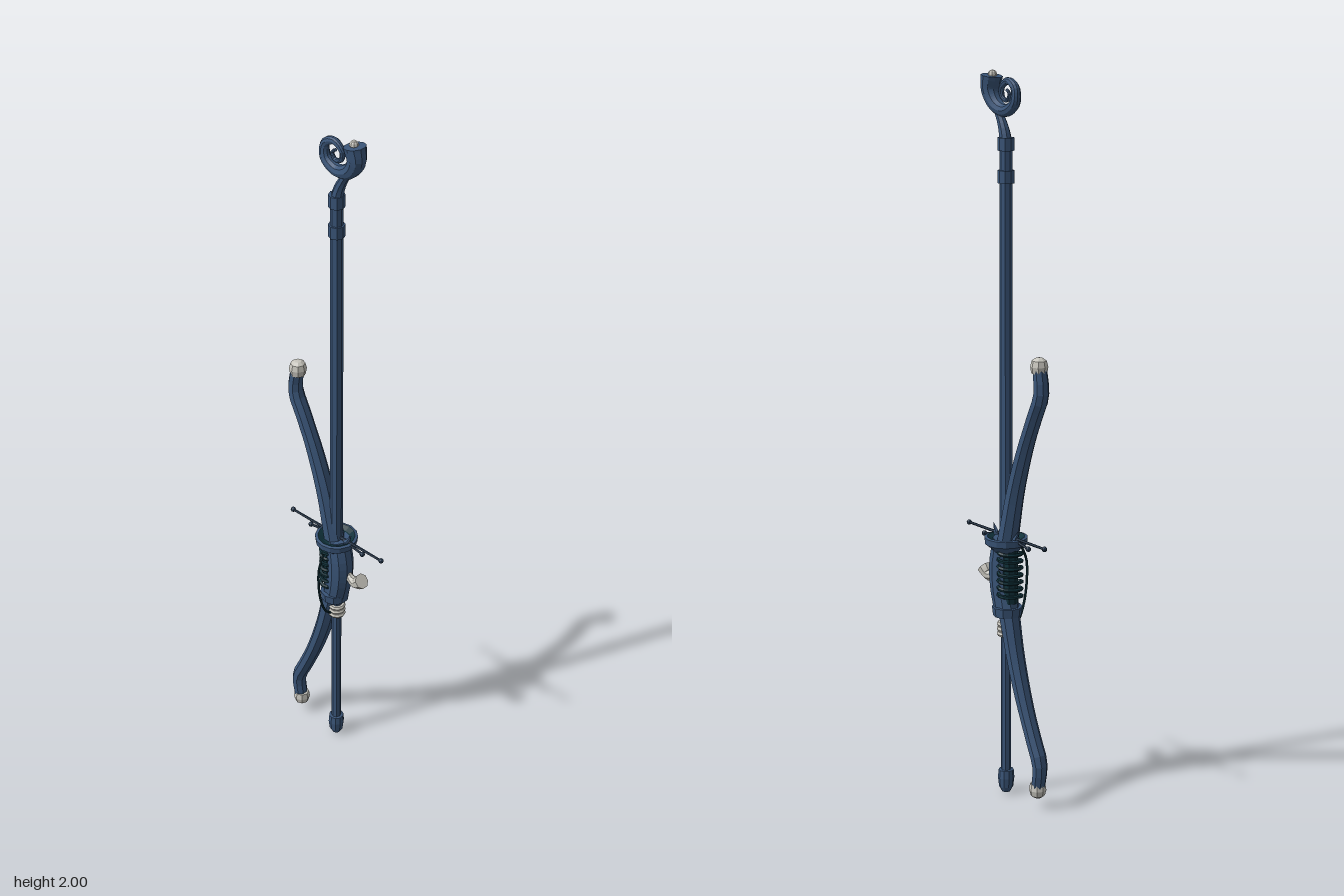
import * as THREE from 'three';

const mat = (name, color, side = THREE.FrontSide) => {
  const m = new THREE.MeshStandardMaterial({ color, flatShading: true, side });
  m.name = name;
  return m;
};

// Sweep a round section along a curve in the xy plane; radii are spread evenly along it.
function sweep(points, radii, rings, sides = 8, depth = 1) {
  const curve = new THREE.CatmullRomCurve3(points.map(([x, y]) => new THREE.Vector3(x, y, 0)));
  const pos = [], index = [];
  for (let i = 0; i <= rings; i++) {
    const t = i / rings, p = curve.getPointAt(t), d = curve.getTangentAt(t);
    const f = t * (radii.length - 1), k = Math.min(Math.floor(f), radii.length - 2);
    const r = THREE.MathUtils.lerp(radii[k], radii[k + 1], f - k);
    for (let j = 0; j < sides; j++) {
      const a = (j + 0.5) / sides * Math.PI * 2, c = Math.cos(a) * r;
      pos.push(p.x - d.y * c, p.y + d.x * c, Math.sin(a) * r * depth);
    }
  }
  for (let i = 0; i < rings; i++) for (let j = 0; j < sides; j++) {
    const n = (j + 1) % sides, a = i * sides + j, b = i * sides + n;
    index.push(a, b, a + sides, b, b + sides, a + sides);
  }
  const last = rings * sides;
  for (let j = 1; j < sides - 1; j++) index.push(0, j + 1, j, last, last + j, last + j + 1);
  const g = new THREE.BufferGeometry();
  g.setAttribute('position', new THREE.Float32BufferAttribute(pos, 3));
  g.setIndex(index);
  g.computeVertexNormals();
  return g;
}

export function createModel() {
  const group = new THREE.Group();
  const blue = mat('blue wood', 0x3a5578);
  const darkBlue = mat('dark blue metal', 0x26394f);
  const teal = mat('dark teal', 0x10313a, THREE.DoubleSide);
  const ivory = mat('ivory', 0xc6c4bc);

  const add = (name, geometry, material, x = 0, y = 0, z = 0) => {
    const mesh = new THREE.Mesh(geometry, material);
    mesh.name = name;
    mesh.position.set(x, y, z);
    group.add(mesh);
    return mesh;
  };
  const lathe = (pts, n = 10) => new THREE.LatheGeometry(pts.map(p => new THREE.Vector2(...p)), n);

  // Staff with collars and a rounded foot
  add('upperShaft', new THREE.CylinderGeometry(0.017, 0.018, 1.1, 8), blue, 0, 1.27);
  add('lowerShaft', new THREE.CylinderGeometry(0.014, 0.014, 0.7, 8), blue, 0, 0.4);
  add('foot', lathe([[0, 0], [0.012, 0.003], [0.02, 0.018], [0.023, 0.045], [0.021, 0.068], [0, 0.07]]), blue);
  for (const y of [1.725, 1.81])
    add('collar', new THREE.CylinderGeometry(0.022, 0.022, 0.034, 8), blue, 0, y);

  // Curled head: neck, tapering spiral and a pearl in the open end
  add('headNeck', sweep([[0, 1.81], [0.008, 1.845], [0.022, 1.875], [0.04, 1.905]],
    [0.018, 0.015, 0.012, 0.012], 8), blue);
  add('headSpiral', sweep([[-0.003, 1.95], [-0.015, 1.94], [-0.006, 1.923], [0.014, 1.928], [0.019, 1.953],
    [-0.008, 1.973], [-0.038, 1.957], [-0.037, 1.918], [0, 1.896], [0.042, 1.908], [0.066, 1.945], [0.06, 1.983]],
  [0.004, 0.007, 0.01, 0.014, 0.017, 0.022, 0.029], 44, 10), blue);
  add('headPearl', new THREE.SphereGeometry(0.012, 8, 6), ivory, 0.057, 1.986);

  // Two mirrored bow limbs with ivory tips
  const mid = 0.648;
  const limb = [[-0.141, 0.6], [-0.15, 0.52], [-0.123, 0.455], [-0.085, 0.365],
    [-0.045, 0.245], [-0.015, 0.12], [0.012, 0]];
  for (const s of [1, -1]) {
    const pts = limb.map(([x, y]) => [x, mid + s * y]);
    add(s > 0 ? 'upperLimb' : 'lowerLimb',
      sweep(pts, [0.018, 0.021, 0.021, 0.023, 0.025, 0.028, 0.03], 24, 8, 1.1), blue);
    const tip = add('limbTip', lathe([[0, -0.02], [0.021, -0.018], [0.024, 0], [0.02, 0.016], [0.01, 0.023], [0, 0.024]], 8),
      ivory, -0.141, mid + s * 0.594);
    if (s < 0) tip.rotation.x = Math.PI;
  }

  // Grip body, bottom band and dark wrapped cord
  add('grip', sweep([[0, 0.53], [0.013, 0.6], [0.016, 0.66], [0.004, 0.74]],
    [0.032, 0.036, 0.037, 0.034], 10, 10), blue);
  add('gripBand', new THREE.CylinderGeometry(0.042, 0.039, 0.026, 10), blue, -0.005, 0.536);
  const coil = [];
  for (let i = 0; i <= 84; i++) {
    const a = i / 12 * Math.PI * 2;
    coil.push(new THREE.Vector3(-0.018 + Math.cos(a) * 0.024, 0.572 + i / 84 * 0.14, Math.sin(a) * 0.036));
  }
  add('gripCoil', new THREE.TubeGeometry(new THREE.CatmullRomCurve3(coil), 112, 0.0055, 5), teal);
  add('coilCore', new THREE.CylinderGeometry(0.022, 0.022, 0.16, 8), teal, -0.018, 0.642);

  // Cup guard with dark inside and small spikes
  add('guardCup', lathe([[0.034, 0.706], [0.042, 0.715], [0.058, 0.728], [0.06, 0.746], [0.052, 0.748]], 14), blue);
  add('guardInside', lathe([[0.052, 0.748], [0.038, 0.74], [0, 0.738]], 14), teal);
  for (const s of [1, -1]) {
    const spike = add('guardSpike', new THREE.ConeGeometry(0.011, 0.045, 5), blue, s * 0.046, 0.756);
    spike.rotation.z = -s * 0.5;
  }

  // Crossing guard rods with ball ends, mirrored
  const up = new THREE.Vector3(0, 1, 0);
  const rod = (x, y0, y1) => {
    const a = new THREE.Vector3(0, y0, 0), b = new THREE.Vector3(x, y1, 0), d = b.clone().sub(a);
    const mesh = add('guardRod', new THREE.CylinderGeometry(0.0035, 0.0045, d.length(), 6), darkBlue);
    mesh.position.copy(a.add(b).multiplyScalar(0.5));
    mesh.quaternion.setFromUnitVectors(up, d.normalize());
    add('rodBall', new THREE.SphereGeometry(0.0075, 8, 6), darkBlue, x, y1);
  };
  for (const s of [1, -1]) {
    rod(s * 0.166, 0.749, 0.749);
    rod(s * 0.097, 0.75, 0.733);
  }

  // Ivory horn on the side of the grip
  add('sideHorn', sweep([[0.038, 0.648], [0.052, 0.625], [0.075, 0.618], [0.096, 0.636]],
    [0.006, 0.012, 0.017, 0.022], 8), ivory);

  // Ivory binding below the grip and the loose cord
  for (let i = 0; i < 3; i++) {
    const ring = add('binding', new THREE.TorusGeometry(0.018, 0.007, 6, 10), ivory, 0.002, 0.468 + i * 0.014);
    ring.rotation.x = Math.PI / 2;
  }
  const cord = [[0.48, 0.025], [0.5, 0.045], [0.55, 0.064], [0.62, 0.073], [0.67, 0.07], [0.71, 0.052]]
    .map(([y, z]) => new THREE.Vector3(0, y, z));
  add('looseCord', new THREE.TubeGeometry(new THREE.CatmullRomCurve3(cord), 20, 0.0035, 6), teal);

  // Centre the whole piece in depth
  for (const part of group.children) part.position.z -= 0.007;
  return group;
}
